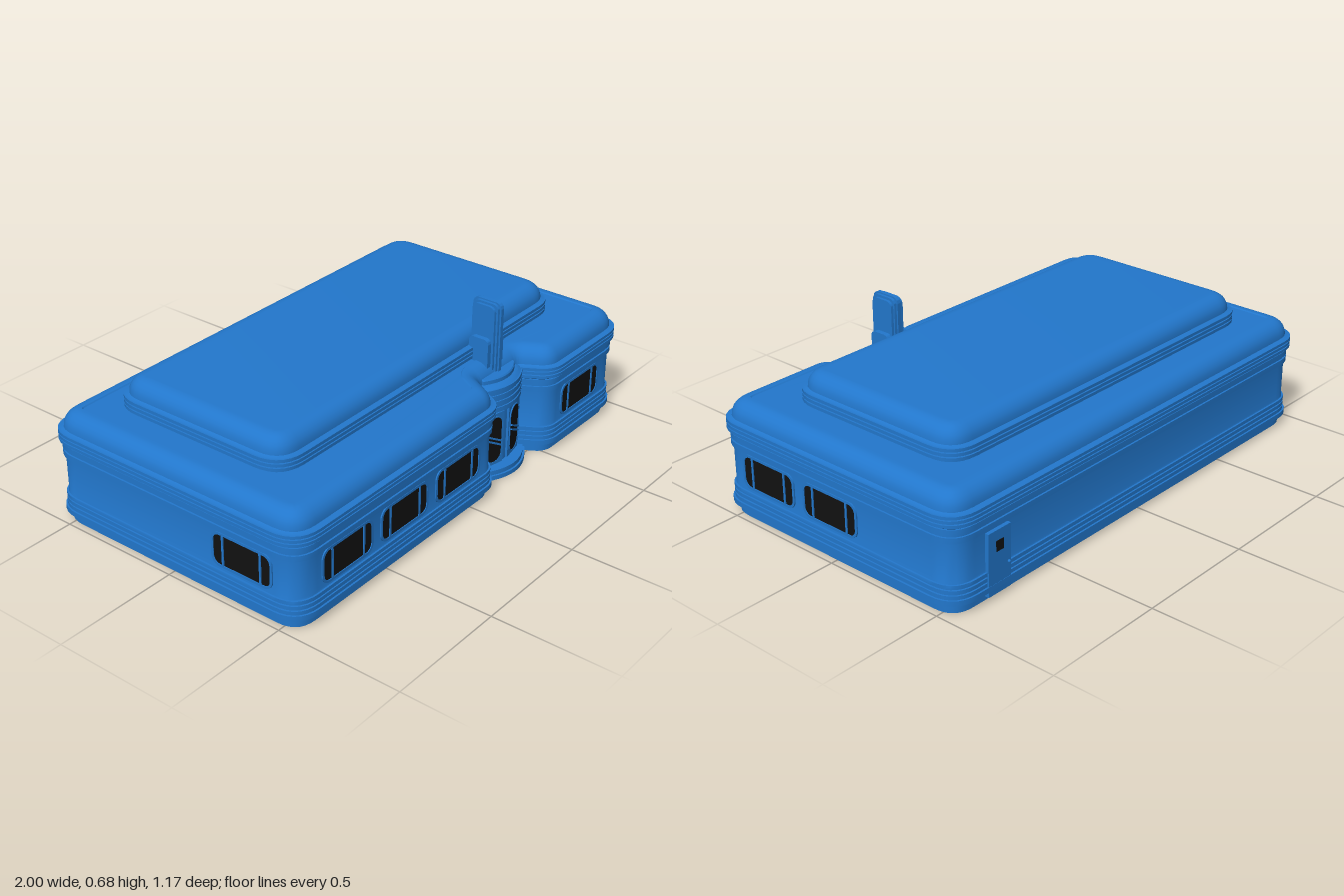
import * as THREE from 'three';
import { toCreasedNormals } from 'three/addons/utils/BufferGeometryUtils.js';

const blue = new THREE.MeshStandardMaterial({ color: 0x2277cc });
const dark = new THREE.MeshStandardMaterial({ color: 0x111111 });
const ENTRY_X = 0.31;

function add(parent, name, geometry, material = blue, x = 0, y = 0, z = 0) {
  const mesh = new THREE.Mesh(geometry, material);
  mesh.name = name;
  mesh.position.set(x, y, z);
  parent.add(mesh);
  return mesh;
}

// Plan outline from corners [x, z, radius], each corner rounded by a curve
function roundCorners(corners, steps = 7) {
  const n = corners.length, out = [];
  corners.forEach(([x, z, r = 0], i) => {
    const p = new THREE.Vector2(x, z);
    if (!r) return out.push(p);
    const toward = ([a, b]) => new THREE.Vector2(a, b).sub(p).setLength(r).add(p);
    const start = toward(corners[(i + n - 1) % n]), end = toward(corners[(i + 1) % n]);
    out.push(...new THREE.QuadraticBezierCurve(start, p, end).getPoints(steps));
  });
  return out;
}

// Outline moved outward by d, with mitred corners
function offset(points, d) {
  const n = points.length;
  const normal = (a, b) => new THREE.Vector2(a.y - b.y, b.x - a.x).normalize();
  return points.map((p, i) => {
    const n1 = normal(points[(i + n - 1) % n], p), n2 = normal(p, points[(i + 1) % n]);
    const m = n1.clone().add(n2).normalize();
    return p.clone().addScaledVector(m, d / Math.max(0.4, m.dot(n1)));
  });
}

// Solid that follows a plan outline, with a profile of [height, outward offset]
function sweep(points, profile) {
  const rings = profile.map(([y, d]) => offset(points, d).map(p => [p.x, y, p.y]));
  const pos = [], n = points.length;
  for (let k = 0; k < rings.length - 1; k++) {
    for (let i = 0; i < n; i++) {
      const j = (i + 1) % n;
      const a = rings[k][i], b = rings[k][j], c = rings[k + 1][j], d = rings[k + 1][i];
      pos.push(...a, ...b, ...c, ...a, ...c, ...d);
    }
  }
  for (const [ring, up] of [[rings[0], false], [rings[rings.length - 1], true]]) {
    const flat = ring.map(p => new THREE.Vector2(p[0], -p[2]));
    for (const [a, b, c] of THREE.ShapeUtils.triangulateShape(flat, [])) {
      const facesUp = THREE.ShapeUtils.area([flat[a], flat[b], flat[c]]) > 0;
      const order = facesUp === up ? [a, b, c] : [a, c, b];
      order.forEach(i => pos.push(...ring[i]));
    }
  }
  const g = new THREE.BufferGeometry();
  g.setAttribute('position', new THREE.Float32BufferAttribute(pos, 3));
  return toCreasedNormals(g, 0.5);
}

// Stacked square ribs between two heights
function ribs(y0, y1, count, high, low) {
  const step = (y1 - y0) / count, out = [];
  for (let i = 0; i < count; i++) {
    const y = y0 + i * step;
    out.push([y, low], [y, high], [y + step * 0.72, high], [y + step * 0.72, low]);
  }
  return out;
}

// Quarter-round roof edge
function dome(y0, height, d0, inset, steps = 6) {
  return Array.from({ length: steps + 1 }, (_, i) => {
    const a = (i / steps) * Math.PI / 2;
    return [y0 + height * Math.sin(a), d0 - inset * (1 - Math.cos(a))];
  });
}

// Bowed plan, straight at the back
function bow(half, zBack, depth, steps = 16) {
  return Array.from({ length: steps + 1 }, (_, i) => {
    const t = (i / steps) * 2 - 1;
    return new THREE.Vector2(ENTRY_X + half * t, zBack + 0.02 + depth * (1 - t * t));
  }).concat([new THREE.Vector2(ENTRY_X + half, zBack - 0.03), new THREE.Vector2(ENTRY_X - half, zBack - 0.03)]);
}

function roundRect(w, h, r, Type = THREE.Shape) {
  const s = new Type(), x = w / 2 - r, y = h / 2 - r;
  s.absarc(x, y, r, 0, Math.PI / 2);
  s.absarc(-x, y, r, Math.PI / 2, Math.PI);
  s.absarc(-x, -y, r, Math.PI, Math.PI * 1.5);
  s.absarc(x, -y, r, Math.PI * 1.5, Math.PI * 2);
  s.closePath();
  return s;
}

const extrude = (shape, depth) =>
  new THREE.ExtrudeGeometry(shape, { depth, bevelEnabled: false, curveSegments: 6 });

function framedGlass(parent, w, h, r, border, depth) {
  const frame = roundRect(w + border * 2, h + border * 2, r + border);
  frame.holes.push(roundRect(w, h, r, THREE.Path));
  add(parent, 'frame', extrude(frame, depth));
  add(parent, 'glass', new THREE.ShapeGeometry(roundRect(w, h, r), 6), dark, 0, 0, 0.002);
}

function addWindow(parent, x, z, turn) {
  const g = new THREE.Group();
  g.name = 'window';
  framedGlass(g, 0.25, 0.118, 0.028, 0.01, 0.005);
  for (const s of [-1, 1]) {
    add(g, 'windowBar', new THREE.BoxGeometry(0.008, 0.118, 0.006), blue, s * 0.083, 0, 0.003);
  }
  g.position.set(x, 0.195, z);
  g.rotation.y = turn;
  parent.add(g);
}

function addEntrance(parent) {
  const e = new THREE.Group();
  e.name = 'entrance';
  parent.add(e);
  add(e, 'step', sweep(bow(0.165, 0.46, 0.07), [[0, 0], [0.018, 0], [0.018, -0.008], [0.036, -0.008]]));
  const bay = [[0.185, 0.47], [ENTRY_X, 0.495], [0.435, 0.47], [0.435, 0.43], [0.185, 0.43]];
  add(e, 'doorBay', sweep(roundCorners(bay), [[0, 0], [0.28, 0]]));
  add(e, 'canopy', sweep(bow(0.13, 0.45, 0.045),
    [[0.27, -0.006], ...ribs(0.275, 0.38, 4, 0.005, 0), [0.38, -0.01], [0.385, -0.02]]));
  // Plain curved rail over the canopy
  add(e, 'signRail', sweep(bow(0.115, 0.445, 0.04), [[0.38, -0.012], [0.4, -0.012], [0.405, -0.016]]));
  // Double doors
  for (const s of [-1, 1]) {
    const door = new THREE.Group();
    door.name = 'door';
    add(door, 'doorPanel', new THREE.BoxGeometry(0.1, 0.22, 0.01));
    const pane = new THREE.Group();
    pane.name = 'doorPane';
    pane.position.z = 0.005;
    framedGlass(pane, 0.074, 0.19, 0.034, 0.005, 0.004);
    door.add(pane);
    for (const y of [-0.012, 0.006]) {
      const bar = add(door, 'doorHandle', new THREE.BoxGeometry(0.08, 0.006, 0.008), blue, 0, y, 0.01);
      bar.rotation.z = -0.5;
    }
    door.position.set(ENTRY_X + s * 0.064, 0.147, 0.486);
    door.rotation.y = s * 0.197;
    e.add(door);
  }
}

// Upright fin rounded at the top, seen from the side
function addFin(parent, name, width, zBack, zFront, top, r) {
  const s = new THREE.Shape();
  s.moveTo(-zFront, 0.36);
  s.lineTo(-zBack, 0.36);
  s.lineTo(-zBack, top - r);
  s.absarc(-zBack - r, top - r, r, 0, Math.PI / 2);
  s.absarc(-zFront + r, top - r, r, Math.PI / 2, Math.PI);
  s.closePath();
  const g = extrude(s, width);
  g.translate(0, 0, -width / 2);
  g.rotateY(Math.PI / 2);
  add(parent, name, toCreasedNormals(g, 0.5), blue, ENTRY_X);
}

export function createModel() {
  const model = new THREE.Group();
  model.name = 'roadsideRestaurant';

  // Main body: rounded block with a recess for the entrance
  const plan = roundCorners([
    [-0.98, 0.567, 0.1], [0.12, 0.567, 0.05], [0.185, 0.455, 0.02],
    [0.435, 0.455, 0.02], [0.5, 0.567, 0.05], [0.98, 0.567, 0.1],
    [0.98, -0.562, 0.1], [-0.98, -0.562, 0.1],
  ]);
  add(model, 'body', sweep(plan, [
    [0, -0.008], [0.04, -0.008], [0.04, 0.016], [0.06, 0.016],
    ...ribs(0.06, 0.12, 3, 0.009, 0.002), [0.12, 0],
    [0.27, 0], ...ribs(0.27, 0.33, 2, 0.009, 0.002),
    ...ribs(0.333, 0.38, 3, 0.02, 0.01),
    ...dome(0.38, 0.065, -0.001, 0.062), [0.445, -0.07], [0.441, -0.074],
  ]));

  // Raised roof
  const roofPlan = roundCorners([
    [-0.805, 0.35, 0.1], [0.805, 0.35, 0.1], [0.805, -0.4, 0.1], [-0.805, -0.4, 0.1],
  ]);
  add(model, 'upperRoof', sweep(roofPlan, [
    [0.43, 0.01], ...ribs(0.448, 0.498, 3, 0.02, 0.01), ...dome(0.498, 0.062, 0, 0.06),
  ]));

  // Windows
  for (const x of [-0.723, -0.412, -0.098, 0.713]) addWindow(model, x, 0.567, 0);
  for (const z of [0.328, 0.015]) addWindow(model, 0.98, z, Math.PI / 2);
  addWindow(model, -0.98, 0.328, -Math.PI / 2);

  addEntrance(model);

  // Stepped tower over the entrance
  addFin(model, 'towerCore', 0.016, 0.335, 0.46, 0.682, 0.025);
  addFin(model, 'towerMiddle', 0.038, 0.341, 0.453, 0.677, 0.025);
  addFin(model, 'towerSides', 0.06, 0.347, 0.445, 0.668, 0.025);
  addFin(model, 'towerShoulder', 0.1, 0.35, 0.436, 0.54, 0.02);

  // Service door at the back
  const back = new THREE.Group();
  back.name = 'serviceDoor';
  back.position.set(0.775, 0.14, -0.565);
  back.rotation.y = Math.PI;
  add(back, 'doorPanel', new THREE.BoxGeometry(0.11, 0.24, 0.024));
  add(back, 'doorGlass', new THREE.BoxGeometry(0.035, 0.04, 0.004), dark, 0, 0.06, 0.012);
  add(back, 'doorKnob', new THREE.SphereGeometry(0.006, 10, 8), blue, 0.042, -0.02, 0.016);
  model.add(back);

  return model;
}
